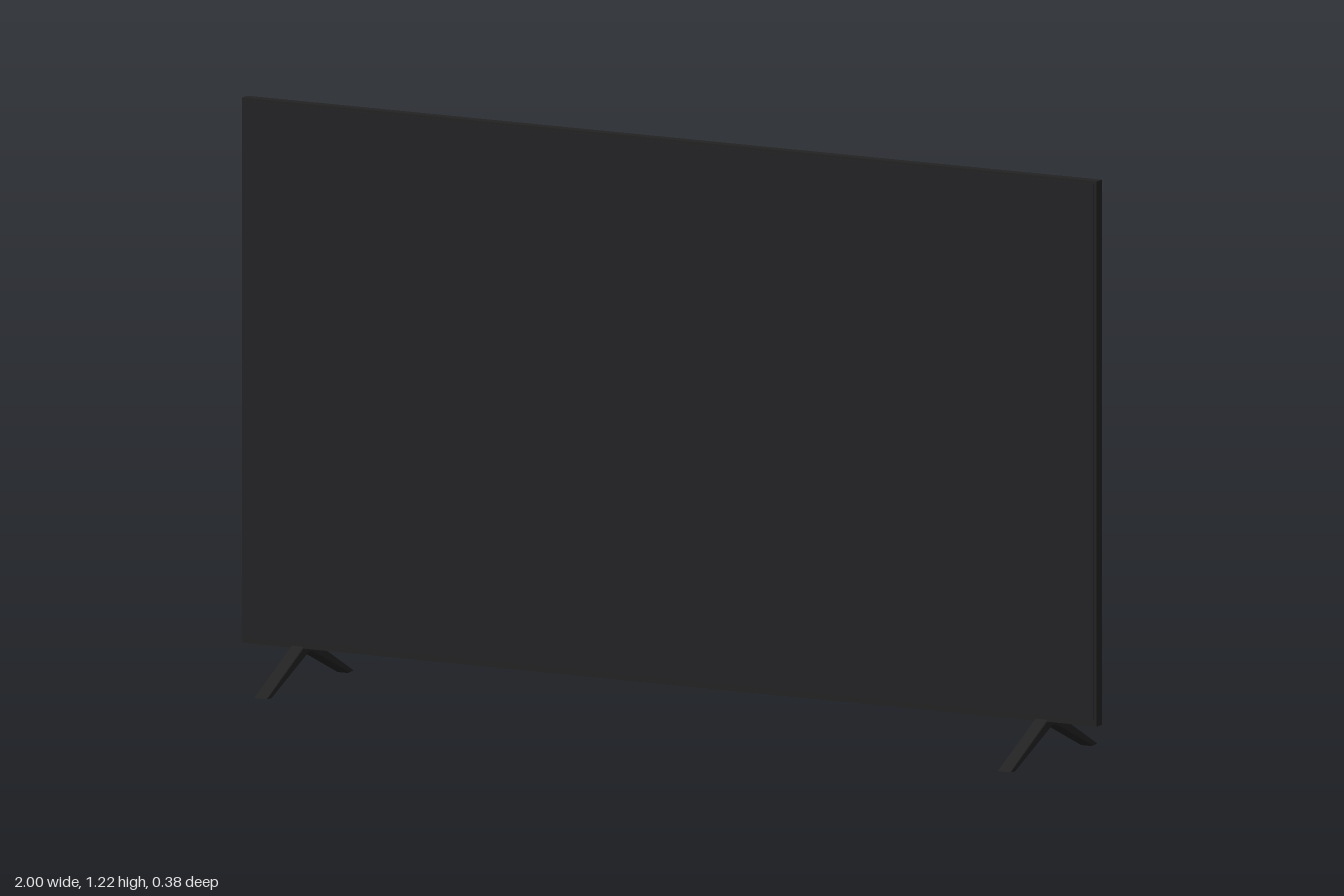
import * as THREE from 'three';

const flat = (name, color) => {
  const m = new THREE.MeshStandardMaterial({ color });
  m.name = name;
  return m;
};

// Rounded rectangle centred on the origin
function roundedRect(w, h, r) {
  const s = new THREE.Shape();
  const x = w / 2, y = h / 2;
  s.moveTo(-x + r, -y);
  s.lineTo(x - r, -y);
  s.absarc(x - r, -y + r, r, -Math.PI / 2, 0);
  s.lineTo(x, y - r);
  s.absarc(x - r, y - r, r, 0, Math.PI / 2);
  s.lineTo(-x + r, y);
  s.absarc(-x + r, y - r, r, Math.PI / 2, Math.PI);
  s.lineTo(-x, -y + r);
  s.absarc(-x + r, -y + r, r, Math.PI, Math.PI * 1.5);
  return s;
}

export function createModel() {
  const group = new THREE.Group();
  const casing = flat('casing black', 0x222222);
  const glass = flat('screen black', 0x222224);

  const add = (name, geometry, material, x, y, z) => {
    const mesh = new THREE.Mesh(geometry, material);
    mesh.name = name;
    mesh.position.set(x, y, z);
    group.add(mesh);
    return mesh;
  };

  // Thin panel and the screen on its front
  add('panel', new THREE.BoxGeometry(2, 1.138, 0.023), casing, 0, 0.651, 0.0165);
  add('screen', new THREE.BoxGeometry(1.988, 1.12, 0.002), glass, 0, 0.654, 0.029);

  // Electronics housing on the back, rounded corners and a bevelled rear edge
  const bevel = 0.006;
  const housing = new THREE.ExtrudeGeometry(roundedRect(1.68 - 2 * bevel, 0.75 - 2 * bevel, 0.035), {
    depth: 0.026, bevelEnabled: true, bevelSize: bevel, bevelThickness: bevel, bevelSegments: 2, curveSegments: 8,
  });
  add('rearHousing', housing, casing, 0, 0.525, -0.019);

  // Splayed feet: an inverted V in side profile, extruded across x
  const width = 0.03, edge = 0.003;
  const profile = new THREE.Shape([
    [0.184, 0.003], [0.012, 0.091], [-0.012, 0.091], [-0.184, 0.003],
    [-0.166, 0.003], [-0.008, 0.073], [0.008, 0.073], [0.166, 0.003],
  ].map(([z, y]) => new THREE.Vector2(z, y)));
  const foot = new THREE.ExtrudeGeometry(profile, {
    depth: width - 2 * edge, bevelEnabled: true, bevelSize: edge, bevelThickness: edge, bevelSegments: 2,
  });
  foot.translate(0, 0, -(width - 2 * edge) / 2);
  foot.rotateY(-Math.PI / 2);
  for (const side of [-1, 1]) {
    add(side > 0 ? 'leftFoot' : 'rightFoot', foot, casing, side * 0.87, 0, 0);
  }
  return group;
}
